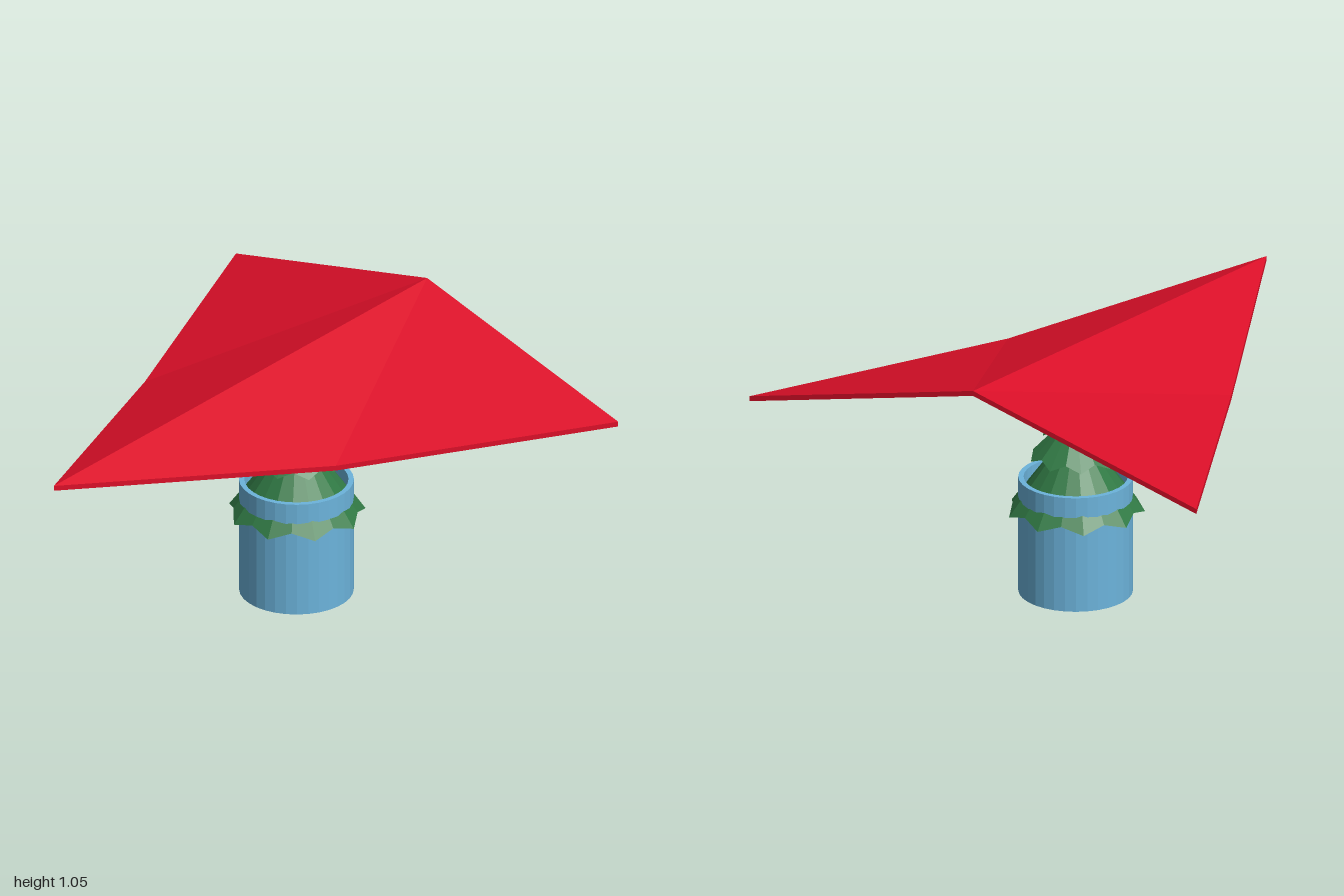
import * as THREE from 'three';

const mat = (color) => new THREE.MeshStandardMaterial({ color, flatShading: true, side: THREE.DoubleSide });

// Folded canopy: two mirrored wings meeting at a sloping ridge, given a thin depth
function canopyGeometry() {
  const depth = 0.02;
  const outline = [[-1, 0.9, 0], [0, 0.8, 0.5], [1, 0.8, 1], [1, 1.05, 0], [1, 0.8, -1], [0, 0.8, -0.5]];
  const n = outline.length;
  const points = [...outline, ...outline.map(([x, y, z]) => [x, y - depth, z])];
  const index = [];
  for (const [a, b, c] of [[0, 1, 3], [1, 2, 3], [0, 3, 5], [3, 4, 5]]) {
    index.push(a, b, c, a + n, c + n, b + n);
  }
  for (let i = 0; i < n; i++) {
    const j = (i + 1) % n;
    index.push(i, i + n, j, j, i + n, j + n);
  }
  const g = new THREE.BufferGeometry();
  g.setAttribute('position', new THREE.Float32BufferAttribute(points.flat(), 3));
  g.setIndex(index);
  g.computeVertexNormals();
  return g;
}

// Jagged foliage skirt: tips hang low and wide, the folds between are raised and pulled in
function tierGeometry(topY, tipY, radius, tips = 9) {
  const points = [0, topY, 0, 0, tipY + 0.07, 0];
  const index = [];
  const n = tips * 2;
  for (let i = 0; i < n; i++) {
    const a = (i / n) * Math.PI * 2;
    const fold = i % 2;
    const r = radius * (fold ? 0.91 : 1);
    points.push(r * Math.cos(a), tipY + fold * 0.025, r * Math.sin(a));
    const p = 2 + i, q = 2 + ((i + 1) % n);
    index.push(0, q, p, 1, p, q);
  }
  const g = new THREE.BufferGeometry();
  g.setAttribute('position', new THREE.Float32BufferAttribute(points, 3));
  g.setIndex(index);
  g.computeVertexNormals();
  return g;
}

export function createModel() {
  const model = new THREE.Group();
  const add = (name, geometry, material, parent = model) => {
    const mesh = new THREE.Mesh(geometry, material);
    mesh.name = name;
    parent.add(mesh);
    return mesh;
  };

  add('canopy', canopyGeometry(), mat(0xdc0f28));

  // Open pot with a thin wall and a floor
  const potProfile = [[0, 0], [0.215, 0], [0.215, 0.46], [0.195, 0.46], [0.195, 0.03], [0, 0.03]]
    .map(([r, y]) => new THREE.Vector2(r, y));
  add('pot', new THREE.LatheGeometry(potProfile, 32), mat(0x6cb4dc)).position.x = 0.3;

  // Tree of three tiers; the lowest pokes through the pot wall
  const tree = new THREE.Group();
  tree.name = 'tree';
  tree.position.x = 0.3;
  model.add(tree);
  const green = mat(0x317a45);
  add('lowerFoliage', tierGeometry(0.68, 0.325, 0.26), green, tree);
  add('middleFoliage', tierGeometry(0.73, 0.54, 0.175), green, tree);
  add('upperFoliage', tierGeometry(0.805, 0.64, 0.128), green, tree);

  return model;
}
